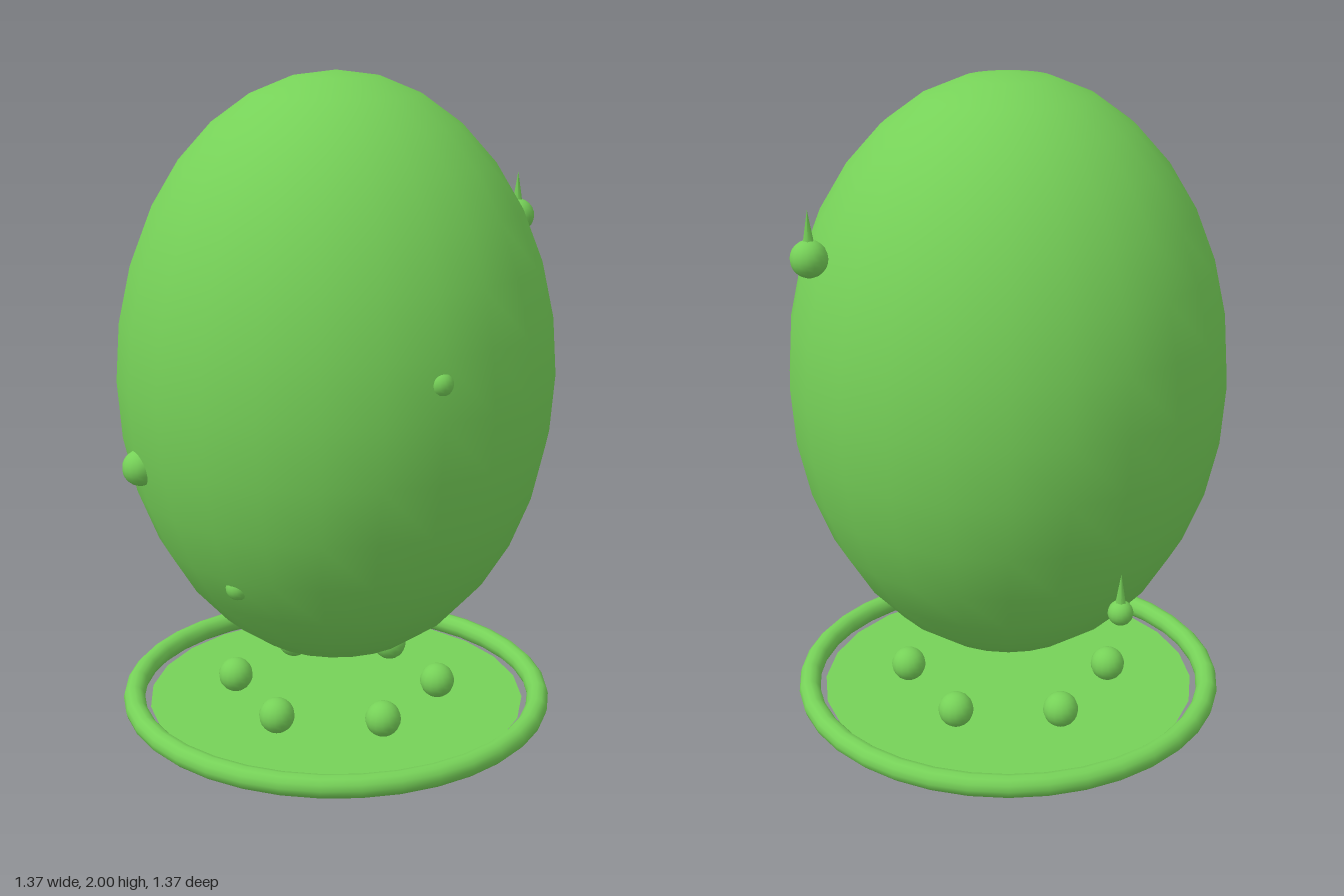
import * as THREE from 'three';

const green = new THREE.MeshStandardMaterial({ color: 0x76d158 });
const greenThin = new THREE.MeshStandardMaterial({ color: 0x76d158, side: THREE.DoubleSide });

function add(parent, name, geometry, x, y, z, material = green) {
  const mesh = new THREE.Mesh(geometry, material);
  mesh.name = name;
  mesh.position.set(x, y, z);
  parent.add(mesh);
  return mesh;
}

// Round bud with a thin spike on top, placed by angle around the body
function addBud(parent, degrees, distance, y, radius) {
  const a = THREE.MathUtils.degToRad(degrees);
  const bud = new THREE.Group();
  bud.name = 'spikedBud';
  bud.position.set(Math.cos(a) * distance, y, Math.sin(a) * distance);
  add(bud, 'budBall', new THREE.SphereGeometry(radius, 16, 12), 0, 0, 0);
  add(bud, 'budSpike', new THREE.ConeGeometry(0.018, 0.1, 6), 0, radius + 0.035, 0);
  parent.add(bud);
}

export function createModel() {
  const model = new THREE.Group();
  model.name = 'floatingEggPlant';

  // Egg-shaped body hovering above the base
  add(model, 'body', new THREE.SphereGeometry(0.67, 24, 16).scale(1, 0.908 / 0.67, 1), 0, 1.092, 0);

  // Base ring and the thin disc inside it
  add(model, 'baseRing', new THREE.TorusGeometry(0.65, 0.034, 12, 36).rotateX(Math.PI / 2), 0, 0.034, 0);
  add(model, 'baseDisc', new THREE.CircleGeometry(0.6, 24).rotateX(-Math.PI / 2), 0, 0.019, 0, greenThin);

  // Six balls standing in a circle on the disc
  for (let i = 0; i < 6; i++) {
    const a = i * Math.PI / 3;
    add(model, 'baseBall', new THREE.SphereGeometry(0.055, 16, 12), Math.cos(a) * 0.327, 0.068, Math.sin(a) * 0.327);
  }

  // Buds growing out of the body: angle, distance, height, radius
  const buds = [
    [-30, 0.64, 1.53, 0.054],
    [150, 0.64, 0.87, 0.054],
    [-120, 0.64, 0.55, 0.037],
    [60, 0.64, 1.2, 0.037],
    [120, 0.51, 0.55, 0.037],
  ];
  for (const bud of buds) addBud(model, ...bud);

  return model;
}
